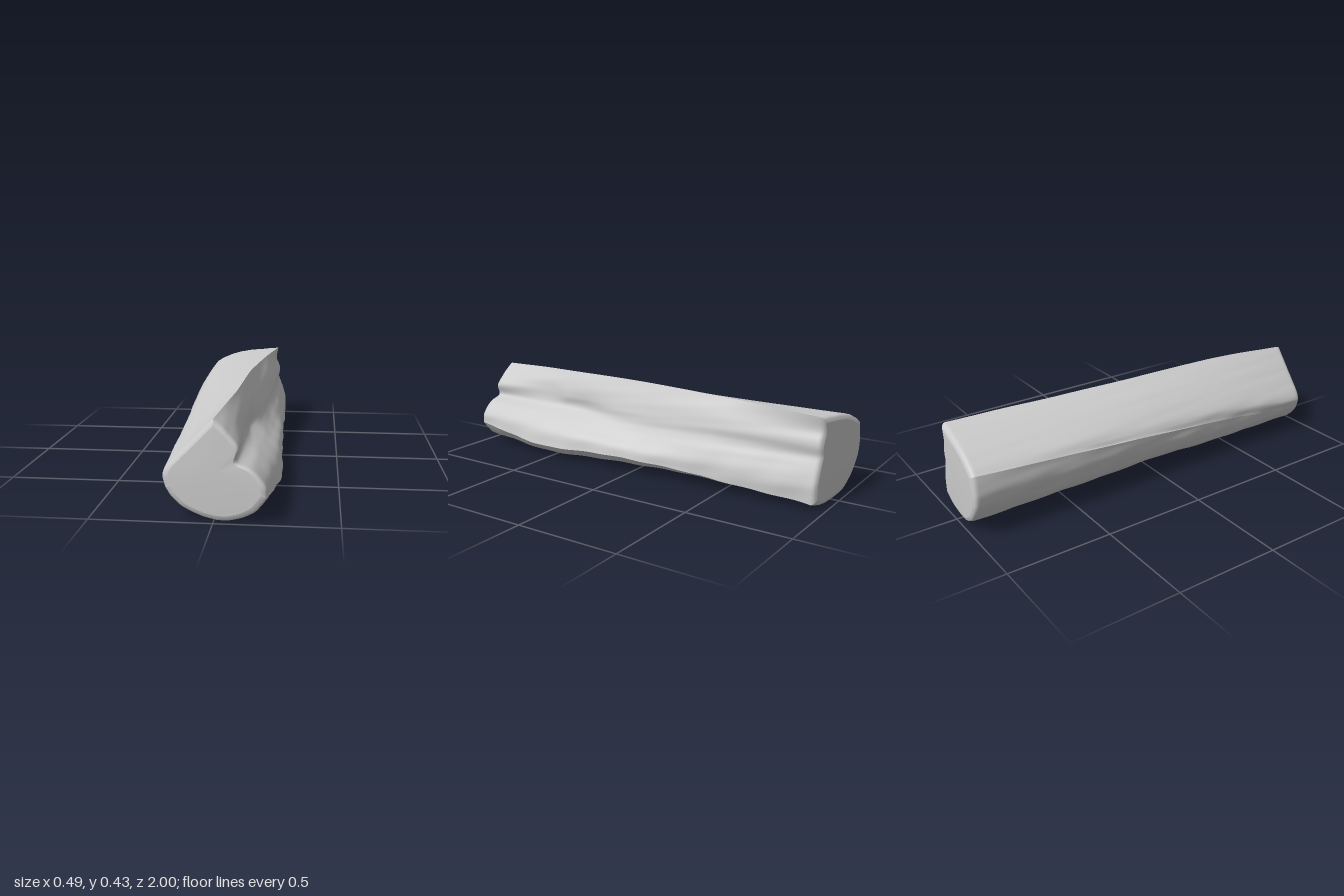
import * as THREE from 'three';
import { mergeVertices } from 'three/addons/utils/BufferGeometryUtils.js';

// Cross-sections from front to back: [x, y] from the ridge (0), down the right face
// to the lower edge (6), under the bark to the left edge (12) and up the split face.
const SECTIONS = [
  [[0, .415], [.055, .365], [.1, .305], [.092, .25], [.155, .22], [.208, .155], [.214, .11], [.155, .04], [.04, .006], [-.06, .018], [-.13, .053], [-.175, .09], [-.2, .125], [-.212, .178], [-.105, .305]],
  [[.045, .433], [.075, .37], [.1, .305], [.108, .25], [.165, .2], [.225, .14], [.247, .065], [.19, .02], [.04, .012], [-.1, .035], [-.175, .085], [-.204, .135], [-.215, .195], [-.206, .245], [-.09, .345]],
  [[.06, .433], [.095, .355], [.12, .285], [.135, .225], [.175, .17], [.216, .125], [.228, .08], [.16, .036], [.03, .033], [-.1, .05], [-.182, .102], [-.222, .175], [-.234, .25], [-.2, .298], [-.09, .368]],
  [[.1, .428], [.135, .355], [.156, .295], [.16, .25], [.184, .195], [.21, .13], [.212, .065], [.14, .032], [.03, .028], [-.105, .045], [-.193, .105], [-.235, .2], [-.24, .292], [-.2, .333], [-.09, .378]],
  [[.152, .418], [.143, .355], [.164, .29], [.158, .24], [.178, .19], [.2, .11], [.199, .035], [.12, .014], [.03, .009], [-.1, .036], [-.185, .1], [-.238, .21], [-.226, .322], [-.19, .344], [-.09, .384]],
];

// Runs of the profile between sharp edges: [name, first, last, subdivisions]
const RUNS = [['rightFace', 0, 6, 42], ['bark', 6, 12, 48], ['splitFace', 12, 15, 30]];
const ROWS = 100, CENTRE = new THREE.Vector2(0, .2);

// Softened rim at each end, from the inside out: [scale, outward offset]
const RIM = [[.88, .011], [.95, .007], [.985, 0], [1, -.009]];

// One lengthwise spline per profile point
const rails = SECTIONS[0].map((_, i) =>
  new THREE.CatmullRomCurve3(SECTIONS.map(s => new THREE.Vector3(s[i][0], s[i][1], 0))));

// Sloping end planes
const zAt = (x, u) => THREE.MathUtils.lerp(.964 + .13 * x, -.972 + .09 * x, u);

// Lumps along the grain, as a factor on the radius; strongest on the underside
function grain(x, y, z) {
  const a = Math.atan2(y - .2, x), low = THREE.MathUtils.smoothstep(.3 - y, 0, .2);
  return 1 + .005 * Math.sin(9 * a + .8 * z) * Math.sin(4 * z + 3 * a)
    + .004 * Math.sin(19 * a + 1.5 * z) * Math.sin(6 * z + 5 * a + 1)
    + low * (.01 * Math.sin(11 * z + 2 * a) * Math.sin(4 * a + 1) + .007 * Math.sin(27 * z + 5 * a));
}

// Hollow in the right face, towards the front
const hollow = (x, y, z) => x < 0 ? 0 :
  .018 * Math.exp(-(((z - .38) / .15) ** 2) - (((y - .26) / .05) ** 2));

// Points along one run of the profile at u, scaled about the core
function profile([, first, last, count], u, scale = 1, offset = 0) {
  const points = [];
  for (let i = first; i <= last; i++) points.push(rails[i % rails.length].getPoint(u));
  const curve = new THREE.CatmullRomCurve3(points, false, 'centripetal');
  return Array.from({ length: count + 1 }, (_, j) => {
    const p = curve.getPoint(j / count);
    const z = zAt(p.x, u), k = grain(p.x, p.y, z) * scale;
    const x = CENTRE.x + (p.x - CENTRE.x) * k - hollow(p.x, p.y, z);
    const y = CENTRE.y + (p.y - CENTRE.y) * k;
    return [x, y, zAt(x, u) + offset];
  });
}

// Skin a list of rows into a smooth surface
function skin(name, rows, material) {
  const n = rows[0].length, index = [];
  for (let r = 0; r < rows.length - 1; r++) {
    for (let c = 0; c < n - 1; c++) {
      const a = r * n + c, b = a + n;
      index.push(a, a + 1, b, a + 1, b + 1, b);
    }
  }
  let geometry = new THREE.BufferGeometry();
  geometry.setAttribute('position', new THREE.Float32BufferAttribute(rows.flat(2), 3));
  geometry.setIndex(index);
  geometry = mergeVertices(geometry, 1e-5);
  geometry.computeVertexNormals();
  const mesh = new THREE.Mesh(geometry, material);
  mesh.name = name;
  return mesh;
}

// Broken crack in the split face beside the ragged left edge
function crack(rows) {
  for (const row of rows.slice(RIM.length, -RIM.length)) {
    const z = row[0][2];
    const depth = .012 * Math.max(0, Math.sin(9 * z + 1) * Math.sin(4 * z + .5));
    [.6, 1, .4].forEach((k, i) => { row[i + 1][1] -= depth * k; });
  }
}

export function createModel() {
  const log = new THREE.Group();
  log.name = 'splitLog';
  const material = new THREE.MeshStandardMaterial({ color: 0xcccccc, side: THREE.DoubleSide });

  // Long faces, each running over the softened rim at both ends
  for (const run of RUNS) {
    const rows = RIM.map(([s, d]) => profile(run, 0, s, d));
    for (let r = 1; r < ROWS; r++) rows.push(profile(run, r / ROWS));
    rows.push(...RIM.map(([s, d]) => profile(run, 1, s, -d)).reverse());
    if (run[0] === 'splitFace') crack(rows);
    log.add(skin(run[0], rows, material));
  }

  // Cut ends, gently domed inside the rim
  const ring = (u, scale, offset) =>
    RUNS.flatMap((run, i) => profile(run, u, scale, offset).slice(i ? 1 : 0));
  const dome = [[0, .014], [.3, .014], [.6, .013], RIM[0]];
  log.add(skin('frontEnd', dome.map(([s, d]) => ring(0, s, d)), material));
  log.add(skin('backEnd', dome.map(([s, d]) => ring(1, s, -d)).reverse(), material));

  return log;
}
